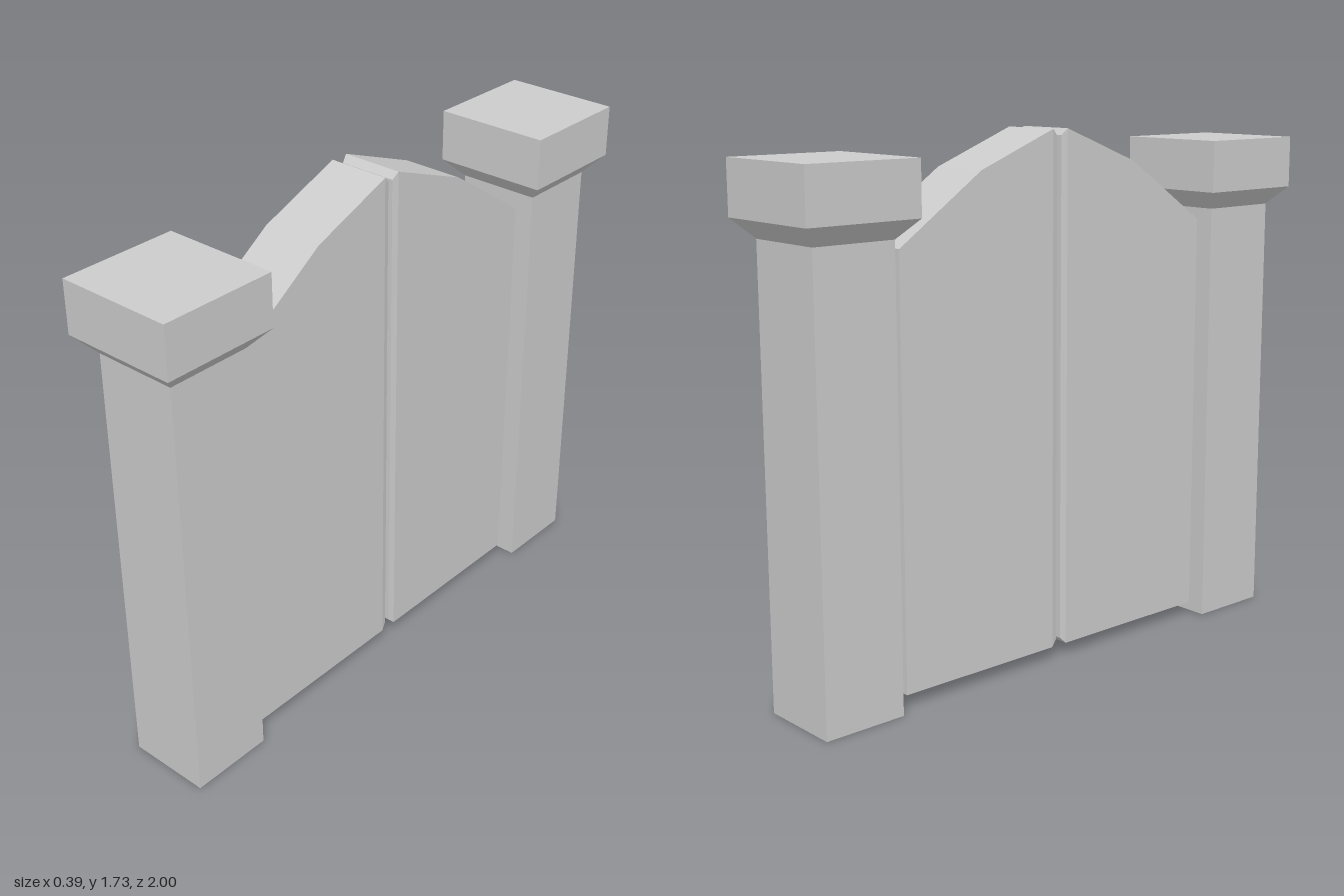
import * as THREE from 'three';
import { ConvexGeometry } from 'three/addons/geometries/ConvexGeometry.js';

const material = new THREE.MeshStandardMaterial({ color: 0xcccccc, flatShading: true });

// Square post with a flared cap: a four-sided lathe, radii given as half widths
function makePillar(name) {
  const profile = [[0, 0], [0.14, 0], [0.14, 1.44], [0.195, 1.5], [0.195, 1.67], [0, 1.67]]
    .map(([half, y]) => new THREE.Vector2(half * Math.SQRT2, y));
  const pillar = new THREE.Mesh(new THREE.LatheGeometry(profile, 4, Math.PI / 4), material);
  pillar.name = name;
  return pillar;
}

// Gate leaf: arched slab whose meeting edge is slightly chamfered all round
function makeLeaf(side, meetingZ) {
  const half = 0.103, noseHalf = 0.097;
  // distance from meeting edge, height, half thickness
  const outline = [
    [0, 0.064, noseHalf], [0.021, 0.043, half], [0.62, 0.043, half],
    [0.62, 1.406, half], [0.31, 1.615, half], [0.021, 1.727, half], [0, 1.706, noseHalf],
  ];
  const points = outline.flatMap(([d, y, x]) =>
    [-x, x].map((px) => new THREE.Vector3(px, y, meetingZ + side * d)));
  return new THREE.Mesh(new ConvexGeometry(points), material);
}

export function createModel() {
  const model = new THREE.Group();
  model.name = 'gate';

  for (const [side, label, meetingZ] of [[1, 'front', 0.015], [-1, 'back', -0.003]]) {
    const pillar = makePillar(label + 'Pillar');
    pillar.position.z = side * 0.805;

    const leaf = makeLeaf(side, meetingZ);
    leaf.name = label + 'GateLeaf';

    // Narrow strip joining the leaf to its pillar
    const inner = Math.abs(meetingZ + side * 0.62), outer = 0.665;
    const hinge = new THREE.Mesh(new THREE.BoxGeometry(0.15, 1.316, outer - inner), material);
    hinge.name = label + 'HingeStrip';
    hinge.position.set(0, 0.722, side * (inner + outer) / 2);

    model.add(pillar, leaf, hinge);
  }
  return model;
}
